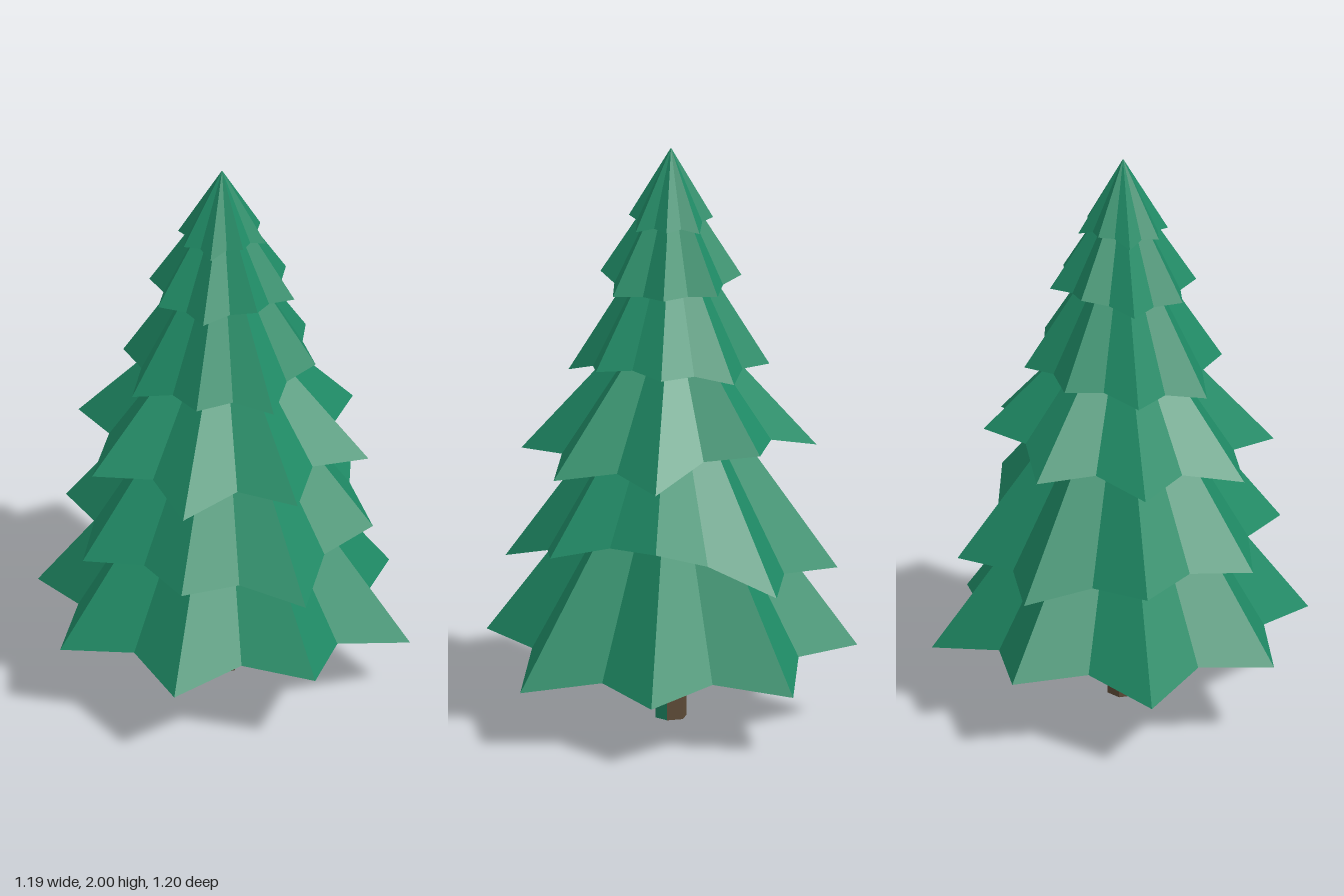
import * as THREE from 'three';

const green = new THREE.MeshStandardMaterial({ color: 0x1f8a65, flatShading: true, side: THREE.DoubleSide });
const brown = new THREE.MeshStandardMaterial({ color: 0x5c4a36, flatShading: true });

// Foliage tiers from the lowest up: apex height, rim height, tip and valley
// radius, rise of the valleys, and the sway (in hundredths) of the tips,
// listed from +x towards +z and repeated as needed.
const tiers = [
  { apex: 1.12, rim: 0.25, tipR: 0.64, valleyR: 0.49, lift: 0.035, sway: [-4, -5, 4, 2, 2, -1, 2, -4] },
  { apex: 1.33, rim: 0.6, tipR: 0.545, valleyR: 0.435, lift: 0.02, sway: [11, 5, -5, 2, 0, 0, -6, -6] },
  { apex: 1.5, rim: 0.94, tipR: 0.505, valleyR: 0.385, lift: 0.03, sway: [-2, -2, -1, -3, -1, 1, 3, 8] },
  { apex: 1.78, rim: 1.24, tipR: 0.338, valleyR: 0.275, lift: 0.015, sway: [3, 3, -3, 0, -4, -2, 1, 0] },
  { apex: 1.93, rim: 1.53, tipR: 0.25, valleyR: 0.2, lift: 0, sway: [0, -1, 3, 0] },
  { apex: 2, rim: 1.74, tipR: 0.15, valleyR: 0.12, lift: 0.01, sway: [0, -1, 2, -1] },
];

// Hollow eight-pointed star cone; a tip that hangs lower also reaches further out
function starCone({ apex, rim, tipR, valleyR, lift, sway }) {
  const swayAt = (k) => sway[(k + 8) % sway.length] / 100;
  const edge = Array.from({ length: 16 }, (_, i) => {
    const k = i >> 1, isTip = i % 2 === 1, a = (i * Math.PI) / 8;
    const r = isTip ? tipR - 0.35 * swayAt(k) : valleyR;
    const y = rim + (isTip ? swayAt(k) : lift + (swayAt(k - 1) + swayAt(k)) / 2);
    return [r * Math.cos(a), y, r * Math.sin(a)];
  });
  const pos = [];
  edge.forEach((p, i) => pos.push(0, apex, 0, ...edge[(i + 1) % 16], ...p));
  const geo = new THREE.BufferGeometry();
  geo.setAttribute('position', new THREE.Float32BufferAttribute(pos, 3));
  geo.computeVertexNormals();
  return geo;
}

export function createModel() {
  const tree = new THREE.Group();
  tree.name = 'pineTree';
  const add = (name, geo, mat, y = 0) => {
    const mesh = new THREE.Mesh(geo, mat);
    mesh.name = name;
    mesh.position.set(-0.02, y, -0.018);
    tree.add(mesh);
    return mesh;
  };

  // Foliage
  tiers.forEach((tier, i) => add(`foliageTier${i + 1}`, starCone(tier), green));

  // Six-sided trunk with one green side at the front left
  const r = 0.055, h = 0.9, side = Math.PI / 3;
  add('trunk', new THREE.CylinderGeometry(r, r, h, 5, 1, true, side, side * 5), brown, h / 2);
  add('trunkGreenSide', new THREE.CylinderGeometry(r, r, h, 1, 1, true, 0, side), green, h / 2);
  const base = add('trunkBase', new THREE.CircleGeometry(r, 6, Math.PI / 2), brown);
  base.rotation.x = Math.PI / 2;

  return tree;
}
